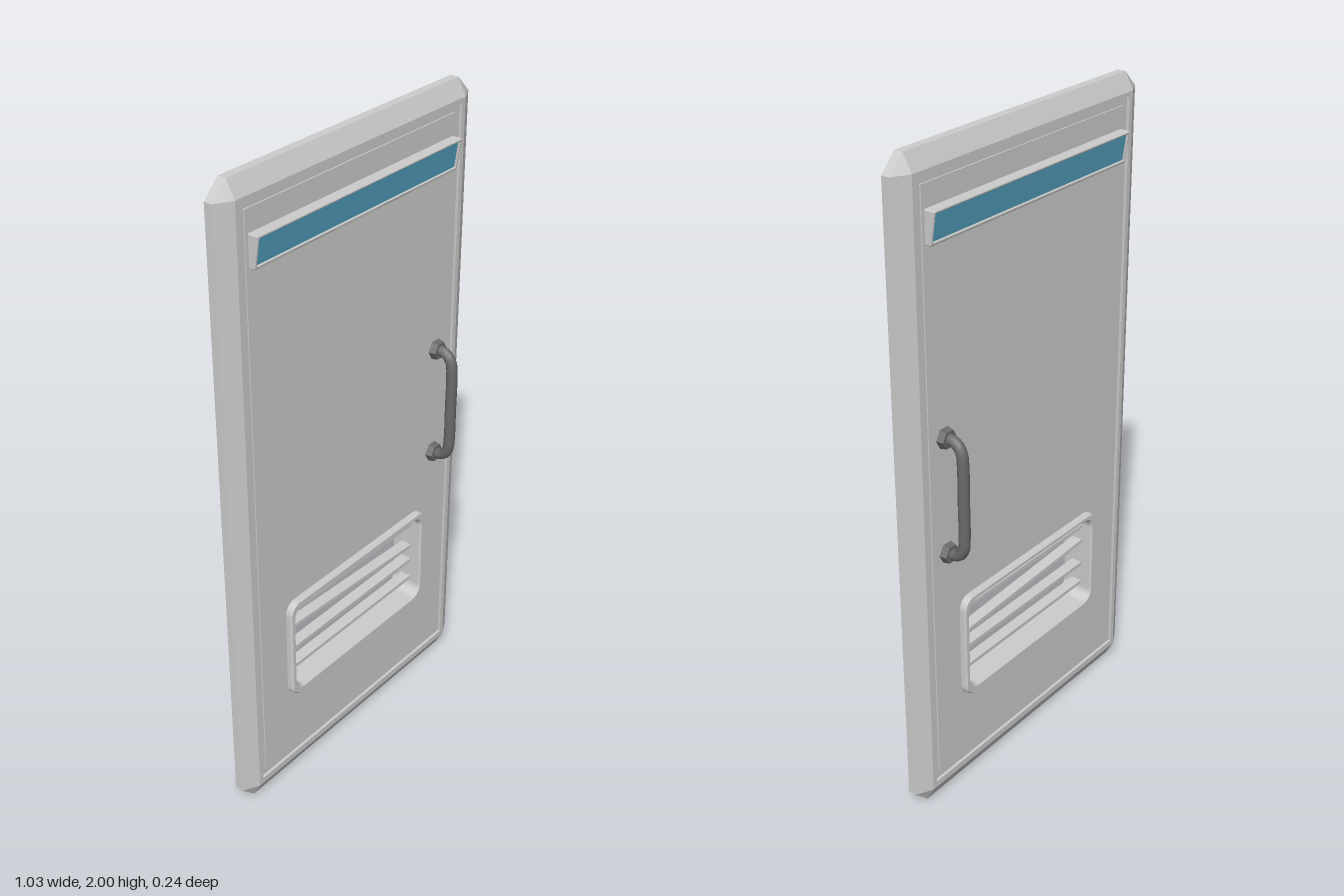
import * as THREE from 'three';

const grey = new THREE.MeshStandardMaterial({ color: 0xcccccc, flatShading: true });
const dark = new THREE.MeshStandardMaterial({ color: 0x6a6a6a });
const blue = new THREE.MeshStandardMaterial({ color: 0x55a5c4 });

function add(parent, name, geometry, material = grey) {
  const mesh = new THREE.Mesh(geometry, material);
  mesh.name = name;
  parent.add(mesh);
  return mesh;
}

// Counter-clockwise eight-point rectangle, corners cut by c
function ring(hw, y0, y1, z, c = 0) {
  return [
    [hw - c, y0, z], [hw, y0 + c, z], [hw, y1 - c, z], [hw - c, y1, z],
    [c - hw, y1, z], [-hw, y1 - c, z], [-hw, y0 + c, z], [c - hw, y0, z],
  ];
}

// Flat-shaded skin over a sequence of rings, skipping collapsed triangles
function skin(rings) {
  const pos = [];
  const same = (a, b) => a.every((v, i) => v === b[i]);
  const tri = (a, b, c) => {
    if (!same(a, b) && !same(b, c) && !same(a, c)) pos.push(...a, ...b, ...c);
  };
  for (let r = 0; r < rings.length - 1; r++) {
    for (let i = 0; i < 8; i++) {
      const j = (i + 1) % 8;
      const [a, b, c, d] = [rings[r][i], rings[r + 1][i], rings[r + 1][j], rings[r][j]];
      tri(a, b, c);
      tri(a, c, d);
    }
  }
  const g = new THREE.BufferGeometry();
  g.setAttribute('position', new THREE.Float32BufferAttribute(pos, 3));
  g.computeVertexNormals();
  return g;
}

// Rectangle outline with rounded corners
function roundRect(hw, y0, y1, r, Type = THREE.Shape) {
  const s = new Type();
  const h = Math.PI / 2;
  s.moveTo(-hw + r, y0);
  s.absarc(hw - r, y0 + r, r, -h, 0);
  s.absarc(hw - r, y1 - r, r, 0, h);
  s.absarc(-hw + r, y1 - r, r, h, 2 * h);
  s.absarc(-hw + r, y0 + r, r, 2 * h, 3 * h);
  s.closePath();
  return s;
}

function plate(outer, hole, halfDepth, bevel = 0) {
  if (hole) outer.holes.push(hole);
  const depth = 2 * (halfDepth - bevel);
  const g = new THREE.ExtrudeGeometry(outer, {
    depth, curveSegments: 5, bevelEnabled: bevel > 0,
    bevelSize: bevel, bevelThickness: bevel, bevelOffset: -bevel, bevelSegments: 1,
  });
  return g.translate(0, 0, -depth / 2);
}

// Wedge taper: thinner towards the bottom edge
function taper(g) {
  const p = g.attributes.position;
  for (let i = 0; i < p.count; i++) {
    p.setZ(i, p.getZ(i) * (1 - 0.22 * (1.85 - p.getY(i)) / 0.095));
  }
  g.computeVertexNormals();
  return g;
}

export function createModel() {
  const door = new THREE.Group();
  door.name = 'door';

  // Bevelled surround with cut corners and a shallow step inside
  const half = [
    ring(0.43, 0.095, 1.915, 0.031),
    ring(0.45, 0.07, 1.935, 0.031),
    ring(0.45, 0.07, 1.935, 0.04),
    ring(0.465, 0.05, 1.95, 0.04),
    ring(0.515, 0, 2, 0.013, 0.05),
  ];
  const back = half.map((r) => r.map(([x, y, z]) => [x, y, -z])).reverse();
  add(door, 'doorFrame', skin([...half, ...back]));

  // Door leaf with the vent opening
  const rect = roundRect(0.43, 0.095, 1.915, 0.002);
  add(door, 'doorPanel', plate(rect, roundRect(0.305, 0.325, 0.64, 0.035, THREE.Path), 0.035));

  // Viewing window
  const slit = new THREE.Group();
  slit.name = 'window';
  door.add(slit);
  add(slit, 'windowFrame', taper(plate(
    roundRect(0.42, 1.755, 1.85, 0.004),
    roundRect(0.41, 1.765, 1.841, 0.002, THREE.Path), 0.067, 0.003)));
  add(slit, 'windowGlass', taper(
    new THREE.BoxGeometry(0.824, 0.08, 0.122).translate(0, 1.803, 0)), blue);

  // Vent frame and slats, one of them hanging crooked
  const vent = new THREE.Group();
  vent.name = 'vent';
  door.add(vent);
  add(vent, 'ventFrame', plate(
    roundRect(0.322, 0.308, 0.655, 0.04),
    roundRect(0.299, 0.332, 0.633, 0.035, THREE.Path), 0.055, 0.006));
  [0.38, 0.45, 0.52, 0.59].forEach((y, i) => {
    const slat = add(vent, 'ventSlat', new THREE.BoxGeometry(0.604, 0.012, 0.036));
    slat.position.y = y;
    if (i === 2) slat.rotation.z = -0.05;
  });

  // Pull handle on each side
  const path = new THREE.CatmullRomCurve3([
    [0.84, 0.03], [0.84, 0.06], [0.848, 0.082], [0.87, 0.096], [0.91, 0.1],
    [1.02, 0.1], [1.13, 0.1], [1.17, 0.096], [1.192, 0.082], [1.2, 0.06], [1.2, 0.03],
  ].map(([y, z]) => new THREE.Vector3(0.37, y, z)));
  const boltMaterial = dark.clone();
  boltMaterial.flatShading = true;
  for (const turn of [0, 1]) {
    const handle = new THREE.Group();
    handle.name = turn ? 'backHandle' : 'frontHandle';
    add(handle, 'handleBar', new THREE.TubeGeometry(path, 40, 0.017, 12), dark);
    for (const y of [0.84, 1.2]) {
      const mount = add(handle, 'handleMount',
        new THREE.CylinderGeometry(0.028, 0.033, 0.024, 6).rotateX(Math.PI / 2), boltMaterial);
      mount.rotation.z = Math.PI / 6;
      mount.position.set(0.37, y, 0.044);
    }
    if (turn) {
      // Half turn about the handle's own upright axis
      handle.rotation.y = Math.PI;
      handle.position.x = 0.74;
    }
    door.add(handle);
  }

  return door;
}
